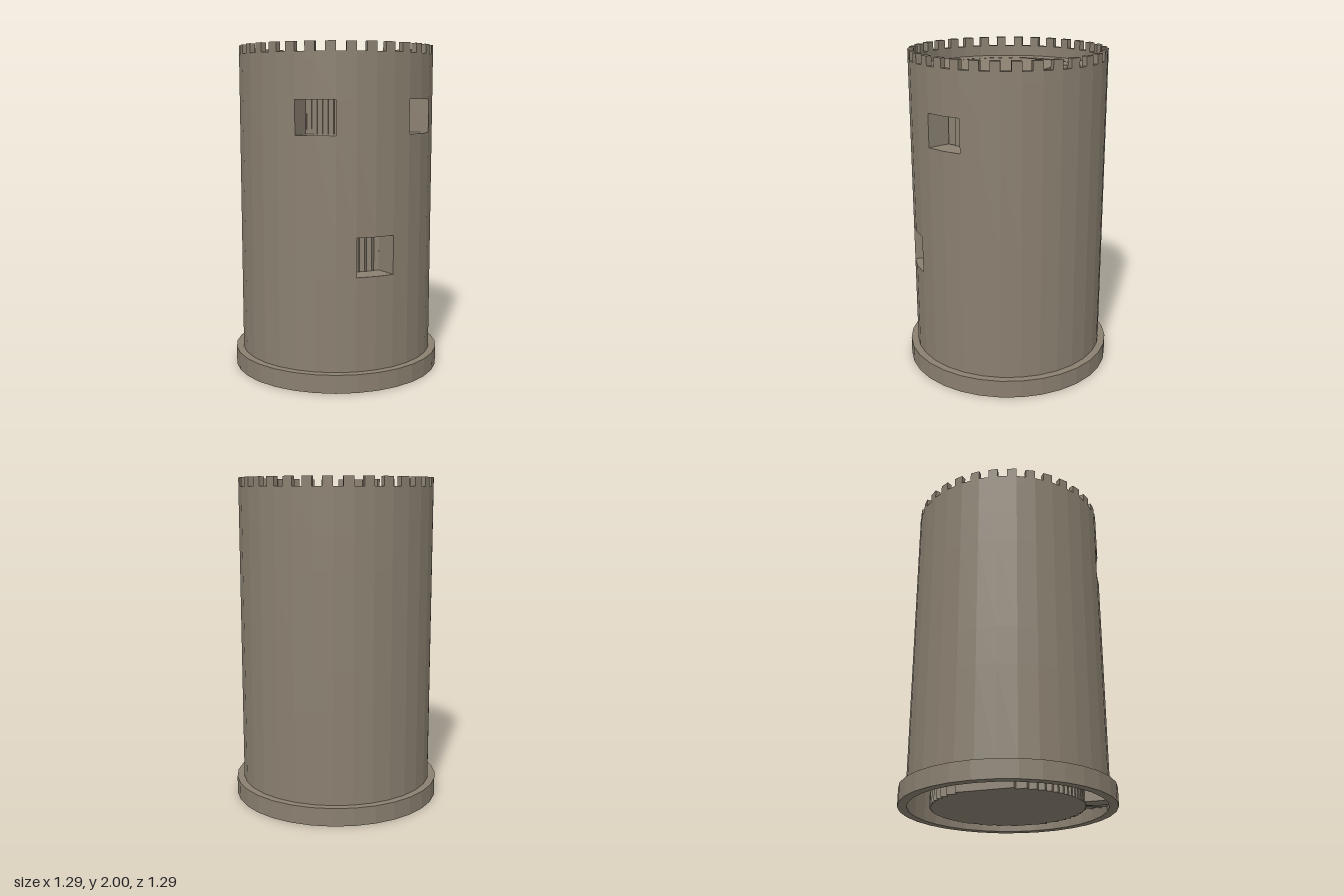
import * as THREE from 'three';
import { mergeGeometries } from 'three/addons/utils/BufferGeometryUtils.js';

const SEG = 32, STEP = (Math.PI * 2) / SEG;
const CORE = 0.457, PARAPET = 0.565, WALL = 0.6, BASE = 0.645, FLOOR = 1.88;

// Plan point at facet index i, counted from the front (+z) towards +x
const pt = (r, i) => new THREE.Vector2(r * Math.sin(i * STEP), -r * Math.cos(i * STEP));

// Upright extrusion of a plan shape
function raise(shape, y0, y1) {
  return new THREE.ExtrudeGeometry(shape, { depth: y1 - y0, bevelEnabled: false })
    .rotateX(-Math.PI / 2).translate(0, y0, 0);
}

// Ring, or part of one, between two facet indices
function ring(r0, r1, y0, y1, from = 0, to = SEG) {
  const outer = [], inner = [];
  const idx = [];
  for (let i = from; i < to - 1e-6; i++) idx.push(i);
  const full = to - from === SEG;
  if (!full) idx.push(to);
  for (const i of idx) { outer.push(pt(r1, i)); inner.push(pt(r0, i)); }
  if (full) {
    const shape = new THREE.Shape(outer);
    shape.holes.push(new THREE.Path(inner));
    return raise(shape, y0, y1);
  }
  return raise(new THREE.Shape([...outer, ...inner.reverse()]), y0, y1);
}

export function createModel() {
  const model = new THREE.Group();
  const stone = new THREE.MeshStandardMaterial({ color: 0x8a8070 });
  stone.name = 'stone';
  const add = (name, parts) => {
    const mesh = new THREE.Mesh(mergeGeometries(parts), stone);
    mesh.name = name;
    model.add(mesh);
  };

  // Plinth around the foot
  add('basePlinth', [ring(0.59, BASE, 0, 0.11)]);

  // Thin shell around the open stair passage
  add('lowerWall', [ring(0.59, WALL, 0.1, 0.67)]);

  // Stepped underside of the spiral stair, seen from below
  const steps = [];
  for (let i = 0; i < SEG; i++) steps.push(ring(CORE, 0.591, 0.01 + i * 0.02, 0.67, i, i + 1));
  add('spiralStair', steps);

  // Thick wall in bands, leaving two-facet window recesses
  add('towerWall', [
    ring(CORE, WALL, 0.67, 0.9, 5, 35),
    ring(CORE, WALL, 0.9, 1.48),
    ring(CORE, WALL, 1.48, 1.68, 2, 6),
    ring(CORE, WALL, 1.48, 1.68, 8, 32),
    ring(CORE, WALL, 1.68, FLOOR),
  ]);

  // Core with a saw-stepped outline made of narrow slices
  const x0 = -0.427, pitch = 0.0311, slices = 28, front = [], back = [];
  for (let i = 0; i < slices; i++) {
    const a = x0 + i * pitch, b = a + pitch;
    const far = Math.max(Math.abs(a), Math.abs(b));
    const h = Math.sqrt(0.459 ** 2 - far ** 2);
    front.push(new THREE.Vector2(a, -h), new THREE.Vector2(b, -h));
    back.push(new THREE.Vector2(a, h), new THREE.Vector2(b, h));
  }
  const outline = [...front, ...back.reverse()];
  const slotted = new THREE.Shape(outline);
  slotted.holes.push(new THREE.Path([
    new THREE.Vector2(-0.25, 0.225), new THREE.Vector2(-0.25, 0.32),
    new THREE.Vector2(0.22, 0.32), new THREE.Vector2(0.22, 0.225),
  ]));
  add('core', [raise(new THREE.Shape(outline), 0.005, 1.78)]);
  add('roofFloorWithSlot', [raise(slotted, 1.78, FLOOR)]);

  // Parapet and battlements
  add('parapet', [ring(PARAPET, WALL, FLOOR, 1.945)]);
  const merlons = [];
  for (let i = 0; i < SEG; i++) {
    // Half-facet block lying on the flat facet
    const mid = (r) => pt(r, i).lerp(pt(r, i + 1), 0.5);
    merlons.push(raise(new THREE.Shape([
      mid(WALL), pt(WALL, i + 1), pt(PARAPET, i + 1), mid(PARAPET),
    ]), 1.945, 2));
  }
  add('battlements', merlons);

  return model;
}
